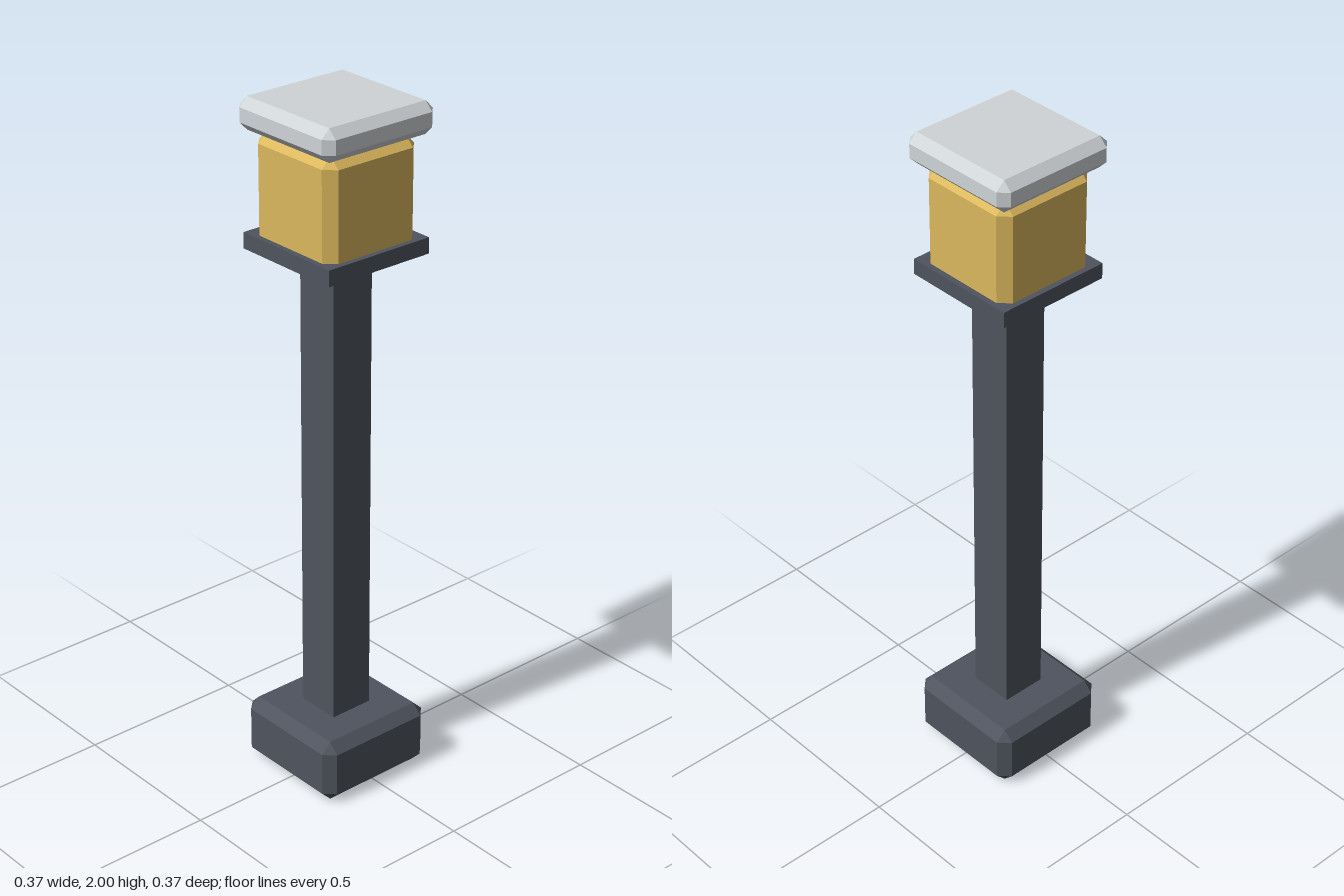
import * as THREE from 'three';
import { ConvexGeometry } from 'three/addons/geometries/ConvexGeometry.js';

// Box with every edge and corner cut flat by c
function chamferBox(w, h, d, c) {
  const pts = [];
  for (const x of [-1, 1]) for (const y of [-1, 1]) for (const z of [-1, 1]) {
    for (let axis = 0; axis < 3; axis++) {
      const inset = [c, c, c];
      inset[axis] = 0;
      pts.push(new THREE.Vector3(
        x * (w / 2 - inset[0]), y * (h / 2 - inset[1]), z * (d / 2 - inset[2])));
    }
  }
  return new ConvexGeometry(pts);
}

export function createModel() {
  const group = new THREE.Group();
  const material = (name, color) => {
    const m = new THREE.MeshStandardMaterial({ color, flatShading: true });
    m.name = name;
    return m;
  };
  const darkMetal = material('dark metal', 0x4f545e);
  const amberGlass = material('amber glass', 0xdcb85e);
  const paleMetal = material('pale metal', 0xcfd4d7);

  // Square part spanning y0 to y1, chamfered when c > 0
  const addPart = (name, mat, width, y0, y1, c = 0) => {
    const h = y1 - y0;
    const geometry = c > 0
      ? chamferBox(width, h, width, c)
      : new THREE.BoxGeometry(width, h, width);
    const mesh = new THREE.Mesh(geometry, mat);
    mesh.name = name;
    mesh.position.y = (y0 + y1) / 2;
    group.add(mesh);
  };

  addPart('base', darkMetal, 0.374, 0, 0.19, 0.03);
  addPart('post', darkMetal, 0.134, 0.17, 1.6);
  addPart('lampPlate', darkMetal, 0.345, 1.579, 1.625);
  // The lamp's lower chamfer is sunk into the plate
  addPart('lamp', amberGlass, 0.312, 1.593, 1.909, 0.03);
  addPart('cap', paleMetal, 0.374, 1.909, 2, 0.025);

  return group;
}
